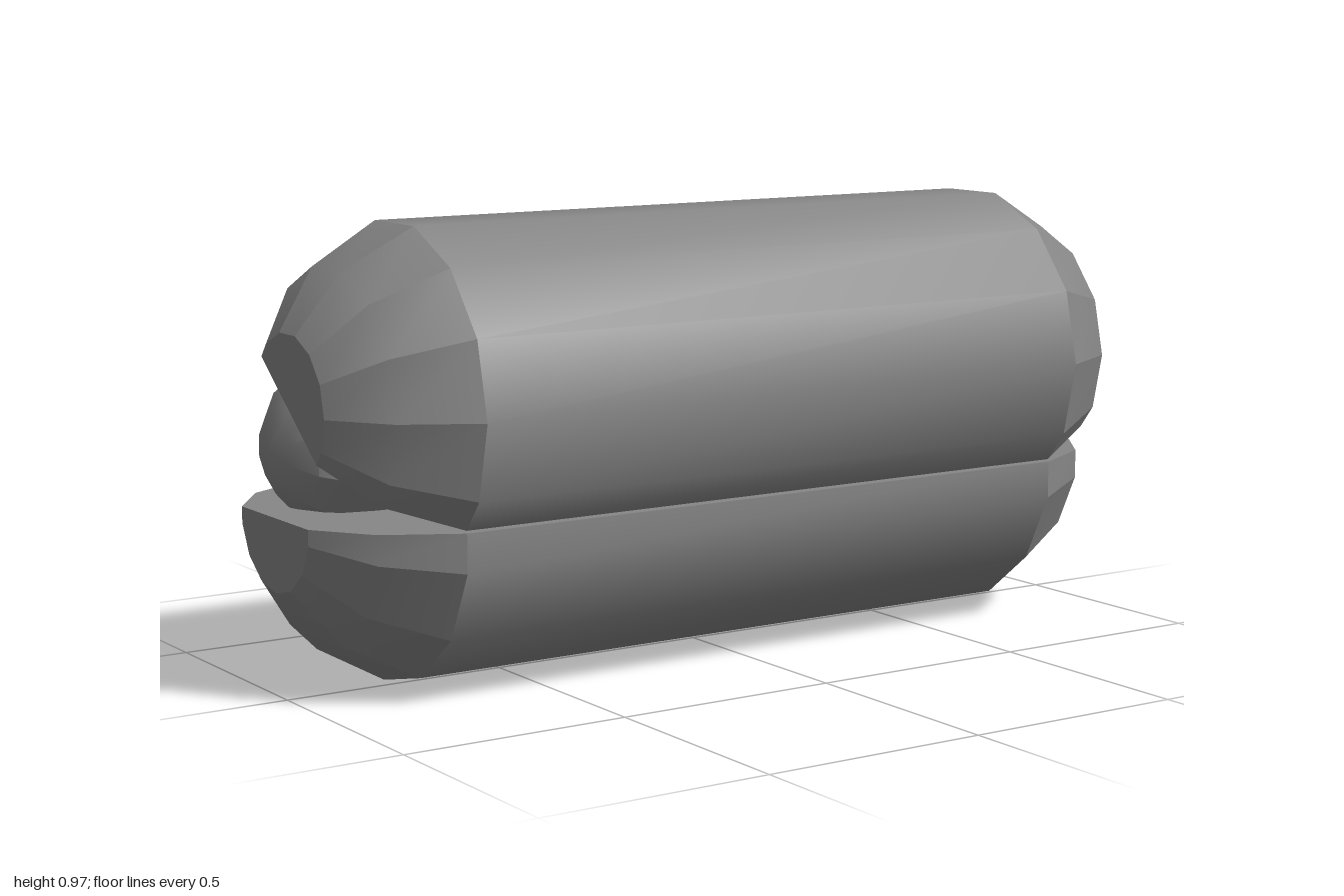
import * as THREE from 'three';
import { mergeGeometries, toCreasedNormals } from 'three/addons/utils/BufferGeometryUtils.js';

const material = new THREE.MeshStandardMaterial({ color: 0x878787 });

// Smooth strip of quads between columns of points running towards +x
function surface(columns) {
  const rows = columns[0].length;
  const idx = [];
  for (let j = 0; j < columns.length - 1; j++) {
    for (let i = 0; i < rows - 1; i++) {
      const a = j * rows + i;
      const d = a + rows;
      idx.push(a, a + 1, d + 1, a, d + 1, d);
    }
  }
  const geo = new THREE.BufferGeometry().setFromPoints(columns.flat());
  geo.setIndex(idx);
  geo.computeVertexNormals();
  return geo.toNonIndexed();
}

// Flat end face spanned from its first corner
function endFace(points) {
  const corners = [];
  for (let j = 1; j < points.length - 1; j++) corners.push(points[0], points[j], points[j + 1]);
  const geo = new THREE.BufferGeometry().setFromPoints(corners);
  geo.computeVertexNormals();
  return geo;
}

// Half of a 14-sided bun, cut flat through the middle of two opposite sides:
// round body, and ends made of gores that are smooth lengthwise only
function halfBun(start) {
  const step = Math.PI / 7;
  const apothem = Math.cos(step / 2);
  const section = [[start, apothem]];
  for (let i = 0; i < 7; i++) section.push([start + (i + 0.5) * step, 1]);
  section.push([start + Math.PI, apothem], [start, apothem]);

  const stations = [
    [-1, 0.157], [-0.91, 0.286], [-0.755, 0.373],
    [0.755, 0.373], [0.91, 0.286], [1, 0.157],
  ];
  const columns = section.map(([a, k]) => stations.map(
    ([x, r]) => new THREE.Vector3(x, r * k * Math.sin(a), r * k * Math.cos(a)),
  ));
  const parts = [toCreasedNormals(surface(columns.map((c) => c.slice(2, 4))), Math.PI / 6)];
  for (let j = 0; j < columns.length - 1; j++) {
    const gore = [columns[j], columns[j + 1]];
    parts.push(surface(gore.map((c) => c.slice(0, 3))), surface(gore.map((c) => c.slice(3))));
  }
  const corners = columns.slice(0, -1);
  parts.push(endFace(corners.map((c) => c[0])), endFace(corners.map((c) => c[5]).reverse()));
  return mergeGeometries(parts);
}

export function createModel() {
  const group = new THREE.Group();
  const add = (name, geo, x, y, z, parent = group) => {
    const mesh = new THREE.Mesh(geo, material);
    mesh.name = name;
    mesh.position.set(x, y, z);
    parent.add(mesh);
    return mesh;
  };

  // Bun halves, the upper one tipped open towards the back
  add('bottomBun', halfBun(Math.PI), 0, 0.373, -0.042);
  add('topBun', halfBun(-1.5 * Math.PI / 7), 0, 0.605, 0.035);

  // Ten-sided sausage with rounded ends and a corner on top
  const sausageGeo = new THREE.CapsuleGeometry(0.187, 1.572, 4, 10).rotateZ(Math.PI / 2);
  add('sausage', toCreasedNormals(sausageGeo, Math.PI / 6), 0, 0.497, -0.125);

  const toppings = new THREE.Group();
  toppings.name = 'toppings';
  group.add(toppings);
  const outward = new THREE.Vector3(0, 0.68, -0.73).normalize();

  // Onion rings lying on the sloped back of the sausage
  const ringGeo = toCreasedNormals(new THREE.TorusGeometry(0.081, 0.016, 6, 10), 0.6);
  for (const x of [-0.725, 0.018, 0.748]) {
    add('onionRing', ringGeo, x, 0.643, -0.255, toppings)
      .quaternion.setFromUnitVectors(new THREE.Vector3(0, 0, 1), outward);
  }

  // Small faceted lumps between the rings
  const lumpGeo = toCreasedNormals(new THREE.SphereGeometry(0.057, 8, 5), 0.2);
  for (const x of [-0.35, 0.395]) {
    const lump = add('relishLump', lumpGeo, x, 0.617, -0.28, toppings);
    lump.quaternion.setFromUnitVectors(new THREE.Vector3(0, 1, 0), outward);
    lump.scale.y = 0.7;
  }

  // Pairs of wavy sauce strands
  const wave = [];
  for (let i = 0; i <= 24; i++) {
    const t = i / 24;
    wave.push(new THREE.Vector3(
      0.008 * Math.sin(t * Math.PI * 5),
      0.768 - 0.348 * t,
      -0.23 - 0.118 * t,
    ));
  }
  const strandGeo = new THREE.TubeGeometry(new THREE.CatmullRomCurve3(wave), 36, 0.007, 6);
  const strandMaterial = material.clone();
  strandMaterial.side = THREE.DoubleSide;
  for (const x of [-0.52, -0.158, 0.209, 0.572]) {
    for (const side of [-1, 1]) {
      add('sauceStrand', strandGeo, x + side * 0.031, 0, 0, toppings).material = strandMaterial;
    }
  }

  return group;
}
